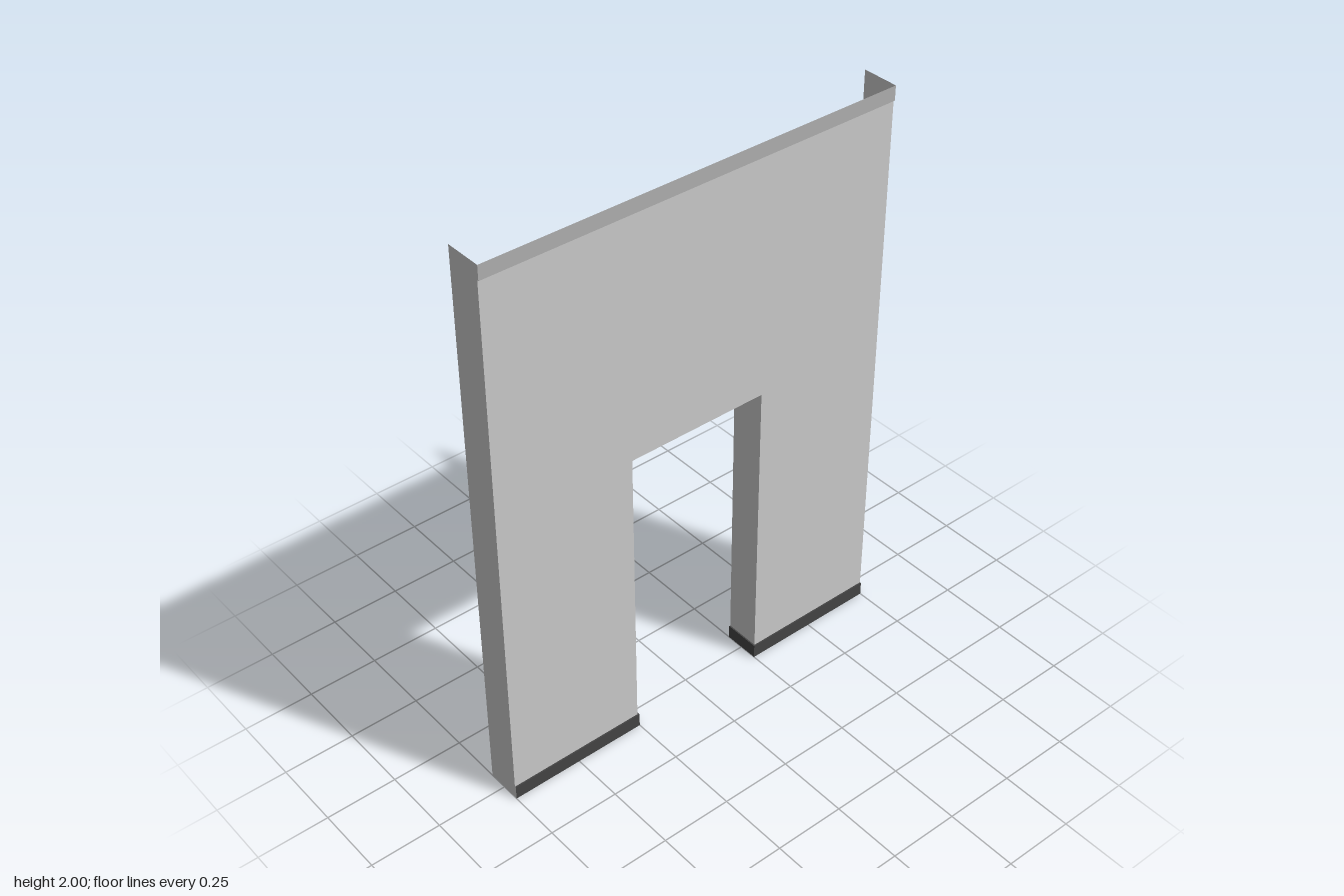
import * as THREE from 'three';

const W = 0.75, H = 2;                 // half width, height
const FACE = 0.06, TRIM = 0.065, BACK = -0.065; // z of wall face, trim face, back edge
const DOOR = 0.255, DOOR_TRIM = 0.25, DOOR_TOP = 1.105;
const BASE = 0.05, CORNICE = 1.95;

const material = (color) => new THREE.MeshStandardMaterial({ color, side: THREE.DoubleSide });

// Flat sheet from an outline, facing +z until turned
function outline(points) {
  return new THREE.ShapeGeometry(new THREE.Shape(points.map(([x, y]) => new THREE.Vector2(x, y))));
}
const rect = (x0, x1, y0, y1) => outline([[x0, y0], [x1, y0], [x1, y1], [x0, y1]]);

// Sheet in the z-y plane at x, facing the side given by dir
function sideSheet(points, x, dir) {
  return outline(points.map(([z, y]) => [-dir * z, y])).rotateY(dir * Math.PI / 2).translate(x, 0, 0);
}

// Sheet in the x-z plane at y, facing up (dir 1) or down (dir -1)
function levelSheet(points, y, dir) {
  return outline(points.map(([x, z]) => [x, -dir * z])).rotateX(-dir * Math.PI / 2).translate(0, y, 0);
}

export function createModel() {
  const model = new THREE.Group();
  model.name = 'doorwayWallPanel';
  const wallMat = material(0xcccccc);
  const corniceMat = material(0xb0b0b0);
  const baseMat = material(0x444444);
  const add = (name, geometry, mat, parent = model) => {
    const mesh = new THREE.Mesh(geometry, mat);
    mesh.name = name;
    parent.add(mesh);
  };

  // Wall face with the doorway cut out
  add('wallFace', outline([
    [-W, BASE], [-DOOR, BASE], [-DOOR, DOOR_TOP], [DOOR, DOOR_TOP],
    [DOOR, BASE], [W, BASE], [W, CORNICE], [-W, CORNICE],
  ]).translate(0, 0, FACE), wallMat);

  // Underside of the doorway head
  add('doorHead', levelSheet([[-DOOR, BACK], [DOOR, BACK], [DOOR, FACE], [-DOOR, FACE]], DOOR_TOP, -1), wallMat);

  // Trim strip along the top and its small lower ledge
  add('topTrim', rect(-W, W, CORNICE, H).translate(0, 0, TRIM), corniceMat);
  add('topTrimLedge', levelSheet([[-W, FACE], [W, FACE], [W, TRIM], [-W, TRIM]], CORNICE, -1), corniceMat);

  for (const s of [1, -1]) {
    const side = s > 0 ? 'left' : 'right';

    // Outer end, stepping forward at the trims
    add(side + 'End', sideSheet([
      [BACK, 0], [TRIM, 0], [TRIM, BASE], [FACE, BASE],
      [FACE, CORNICE], [TRIM, CORNICE], [TRIM, H], [BACK, H],
    ], s * W, s), wallMat);

    // Doorway jamb
    add(side + 'Jamb', sideSheet([
      [BACK, BASE], [FACE, BASE], [FACE, DOOR_TOP], [BACK, DOOR_TOP],
    ], s * DOOR, -s), wallMat);

    // Baseboard: front, return into the doorway, top ledge
    const base = new THREE.Group();
    base.name = side + 'Baseboard';
    model.add(base);
    add('baseboardFront', rect(Math.min(s * DOOR_TRIM, s * W), Math.max(s * DOOR_TRIM, s * W), 0, BASE)
      .translate(0, 0, TRIM), baseMat, base);
    add('baseboardReturn', sideSheet([[BACK, 0], [TRIM, 0], [TRIM, BASE], [BACK, BASE]], s * DOOR_TRIM, -s), baseMat, base);
    add('baseboardLedge', levelSheet([
      [s * W, TRIM], [s * DOOR_TRIM, TRIM], [s * DOOR_TRIM, BACK],
      [s * DOOR, BACK], [s * DOOR, FACE], [s * W, FACE],
    ], BASE, 1), baseMat, base);
  }
  return model;
}
